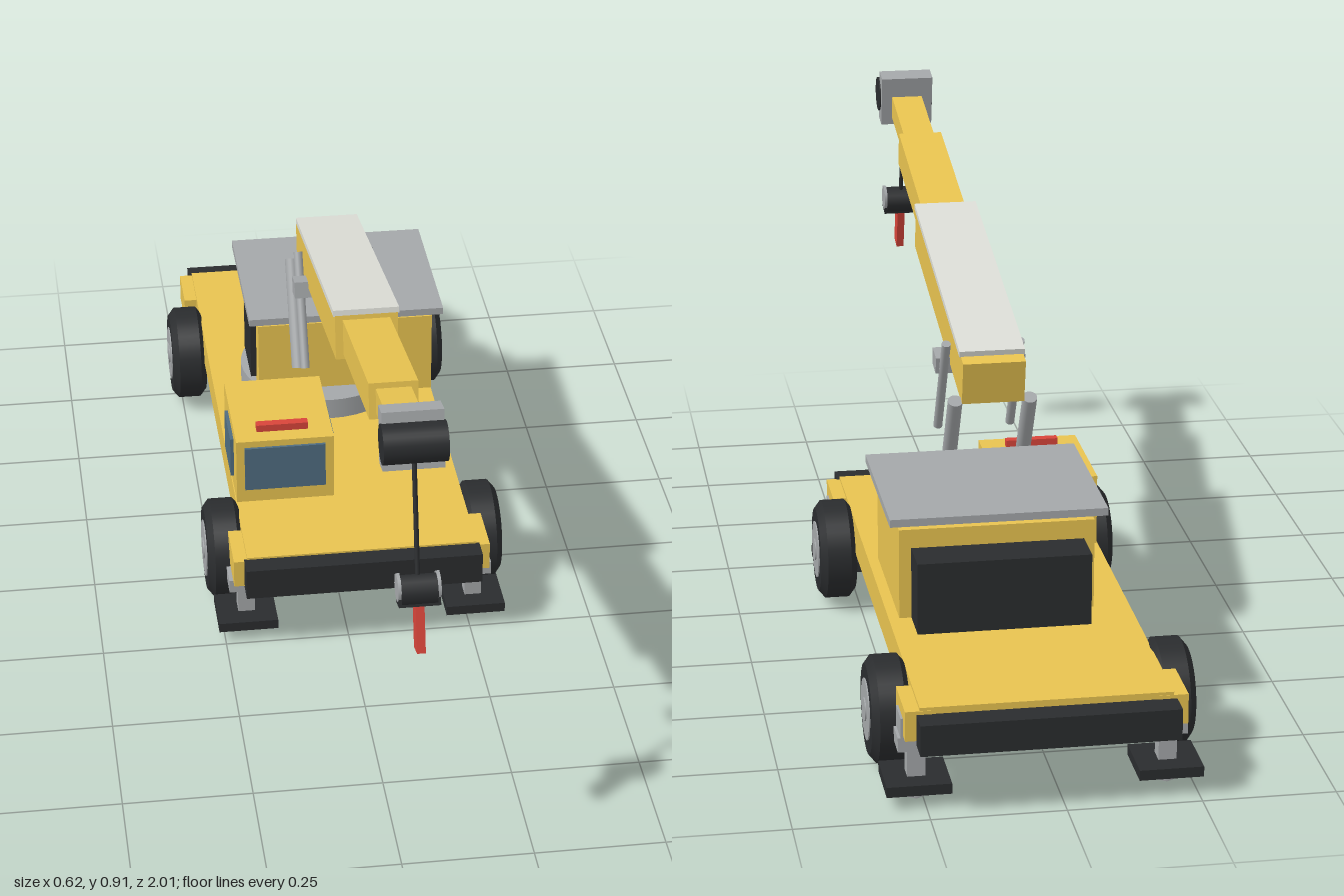
import * as THREE from 'three';

const mat = (color) => new THREE.MeshStandardMaterial({ color });
const YELLOW = mat(0xe8c350), DARK = mat(0x2a2c2e), GREY = mat(0xa4a7a9), PALE = mat(0xdcddd6);
const GLASS = mat(0x4f6c80), RED = mat(0xd8453a);
const CX = 0.03; // centre line of the vehicle

function add(parent, name, geometry, material, x, y, z) {
  const mesh = new THREE.Mesh(geometry, material);
  mesh.name = name;
  mesh.position.set(x, y, z);
  parent.add(mesh);
  return mesh;
}

// Box given by its minimum and maximum on each axis
function box(parent, name, material, [x0, x1], [y0, y1], [z0, z1]) {
  return add(parent, name, new THREE.BoxGeometry(x1 - x0, y1 - y0, z1 - z0), material,
    (x0 + x1) / 2, (y0 + y1) / 2, (z0 + z1) / 2);
}

// Cylinder lying along x
function axle(parent, name, material, r, length, x, y, z, sides = 32) {
  const geometry = new THREE.CylinderGeometry(r, r, length, sides).rotateZ(Math.PI / 2);
  return add(parent, name, geometry, material, x, y, z);
}

// Round rod between two points
function rod(parent, name, material, r, a, b) {
  const from = new THREE.Vector3(...a), to = new THREE.Vector3(...b);
  const dir = to.clone().sub(from);
  const mesh = add(parent, name, new THREE.CylinderGeometry(r, r, dir.length(), 20), material, 0, 0, 0);
  mesh.position.copy(from).lerp(to, 0.5);
  mesh.quaternion.setFromUnitVectors(new THREE.Vector3(0, 1, 0), dir.normalize());
  return mesh;
}

function group(parent, name, x, y, z) {
  const g = new THREE.Group();
  g.name = name;
  g.position.set(x, y, z);
  parent.add(g);
  return g;
}

function addWheel(parent, side, z) {
  const wheel = group(parent, 'wheel', CX + side * 0.266, 0.111, z);
  const profile = [[0, -0.037], [0.085, -0.037], [0.085, -0.037], [0.101, -0.024], [0.101, -0.024],
    [0.101, 0.024], [0.101, 0.024], [0.085, 0.037], [0.085, 0.037], [0, 0.037]];
  const tyre = new THREE.LatheGeometry(profile.map(([r, y]) => new THREE.Vector2(r, y)), 36);
  add(wheel, 'tyre', tyre.rotateZ(Math.PI / 2), DARK, 0, 0, 0);
  axle(wheel, 'rim', GREY, 0.058, 0.079, 0, 0, 0);
  axle(wheel, 'hubCap', GREY, 0.022, 0.084, 0, 0, 0);
}

function addOutrigger(parent, side, z) {
  const g = group(parent, 'outrigger', CX + side * 0.233, 0, z);
  box(g, 'outriggerHousing', YELLOW, [-0.028, 0.026], [0.135, 0.193], [-0.058, 0.058]);
  box(g, 'outriggerBeam', GREY, [-0.035, 0.035], [0.1, 0.128], [-0.027, 0.027]);
  box(g, 'outriggerBracket', GREY, [-0.027, 0.03], [0.125, 0.168], [-0.03, 0.03]);
  box(g, 'outriggerLeg', GREY, [-0.017, 0.017], [0.012, 0.13], [-0.017, 0.017]);
  add(g, 'outriggerFoot', new THREE.CylinderGeometry(0.017, 0.017, 0.026, 6), GREY, 0, 0.014, 0);
  box(g, 'outriggerPad', DARK, [-0.06, 0.06], [0.026, 0.046], [-0.058, 0.058]);
}

function addChassis(root) {
  const g = group(root, 'chassis', 0, 0, 0);
  box(g, 'deck', YELLOW, [-0.204, 0.262], [0.13, 0.199], [-0.95, 0.24]);
  box(g, 'frame', DARK, [-0.182, 0.242], [0.09, 0.129], [-0.85, 0.16]);
  box(g, 'underPlate', DARK, [-0.182, 0.242], [0.122, 0.131], [-0.945, 0.238]);
  box(g, 'frontBumper', DARK, [-0.21, 0.268], [0.13, 0.195], [0.238, 0.283]);
  box(g, 'rearBumper', DARK, [-0.21, 0.268], [0.126, 0.186], [-1, -0.948]);
  for (const side of [-1, 1]) {
    for (const z of [0.058, -0.746]) addWheel(g, side, z);
    for (const z of [0.185, -0.893]) addOutrigger(g, side, z);
  }
}

function addCab(root) {
  const g = group(root, 'cab', 0, 0, 0);
  box(g, 'cabShell', YELLOW, [-0.202, -0.001], [0.198, 0.342], [-0.213, 0.03]);
  box(g, 'windscreen', GLASS, [-0.185, -0.019], [0.23, 0.328], [0.025, 0.036]);
  box(g, 'rightWindow', GLASS, [-0.209, -0.2], [0.23, 0.317], [-0.14, -0.024]);
  box(g, 'leftWindow', GLASS, [-0.004, 0.005], [0.23, 0.317], [-0.14, -0.024]);
  box(g, 'beacon', RED, [-0.156, -0.05], [0.342, 0.357], [-0.024, -0.006]);
}

function addTurret(root) {
  const g = group(root, 'turret', 0, 0, 0);
  add(g, 'turntable', new THREE.CylinderGeometry(0.174, 0.174, 0.045, 40), GREY, CX, 0.2325, -0.43);
  add(g, 'turntableBase', new THREE.CylinderGeometry(0.15, 0.15, 0.015, 40), GREY, CX, 0.205, -0.43);
  box(g, 'turretBody', YELLOW, [-0.118, 0.253], [0.235, 0.412], [-0.62, -0.314]);
  box(g, 'turretWindow', DARK, [-0.13, -0.115], [0.265, 0.395], [-0.49, -0.36]);
  box(g, 'counterweight', DARK, [-0.098, 0.23], [0.235, 0.375], [-0.703, -0.615]);
  box(g, 'roof', GREY, [-0.139, 0.273], [0.428, 0.443], [-0.645, -0.29]);
  for (const side of [-1, 1]) {
    const x = CX + side * 0.073;
    box(g, 'roofMount', GREY, [x - 0.012, x + 0.012], [0.41, 0.43], [-0.4, -0.345]);
  }
}

function addBoom(root) {
  // Pitched group: z runs along the boom from its rear end
  const g = group(root, 'boom', CX, 0.598, -0.35);
  g.rotation.x = -0.195;
  const sections = [['outerSection', 0.122, 0.088, 0, 0.652], ['middleSection', 0.092, 0.07, 0.6, 1.02],
    ['innerSection', 0.066, 0.048, 0.98, 1.24]];
  for (const [name, w, h, z0, z1] of sections) {
    box(g, name, YELLOW, [-w / 2, w / 2], [-h / 2, h / 2], [z0, z1]);
  }
  box(g, 'topPlate', PALE, [-0.064, 0.064], [0.043, 0.055], [0.03, 0.652]);
  box(g, 'boomHead', GREY, [-0.056, 0.056], [-0.042, 0.068], [1.225, 1.268]);
  axle(g, 'headDrum', DARK, 0.037, 0.117, 0, 0.011, 1.273);

  for (const side of [-1, 1]) {
    const x = CX + side * 0.073;
    rod(root, 'liftCylinder', GREY, 0.0145, [x, 0.36, -0.222], [x, 0.56, -0.335]);
    rod(root, 'liftRod', GREY, 0.009, [x, 0.428, -0.104], [x, 0.638, -0.22]);
    const mount = add(root, 'rodBracket', new THREE.BoxGeometry(0.04, 0.034, 0.045), GREY,
      CX + side * 0.069, 0.586, -0.165);
    mount.rotation.x = -0.195;
  }
}

function addHook(root) {
  rod(root, 'cable', DARK, 0.0045, [CX, 0.84, 0.897], [CX, 0.6, 0.961]);
  // Tilted with the cable
  const g = group(root, 'hookBlock', CX, 0.59, 0.965);
  g.rotation.x = -0.26;
  axle(g, 'hookSheave', DARK, 0.029, 0.066, 0, 0, 0, 8);
  box(g, 'hookCasing', DARK, [-0.038, 0.038], [-0.026, 0.004], [-0.02, 0.02]);
  for (const side of [-1, 1]) axle(g, 'hookCheek', GREY, 0.027, 0.006, side * 0.036, 0.006, 0, 8);
  box(g, 'hook', RED, [-0.008, 0.008], [-0.115, -0.02], [-0.019, 0.019]);
}

export function createModel() {
  const root = new THREE.Group();
  root.name = 'mobileCrane';
  addChassis(root);
  addCab(root);
  addTurret(root);
  addBoom(root);
  addHook(root);
  return root;
}
